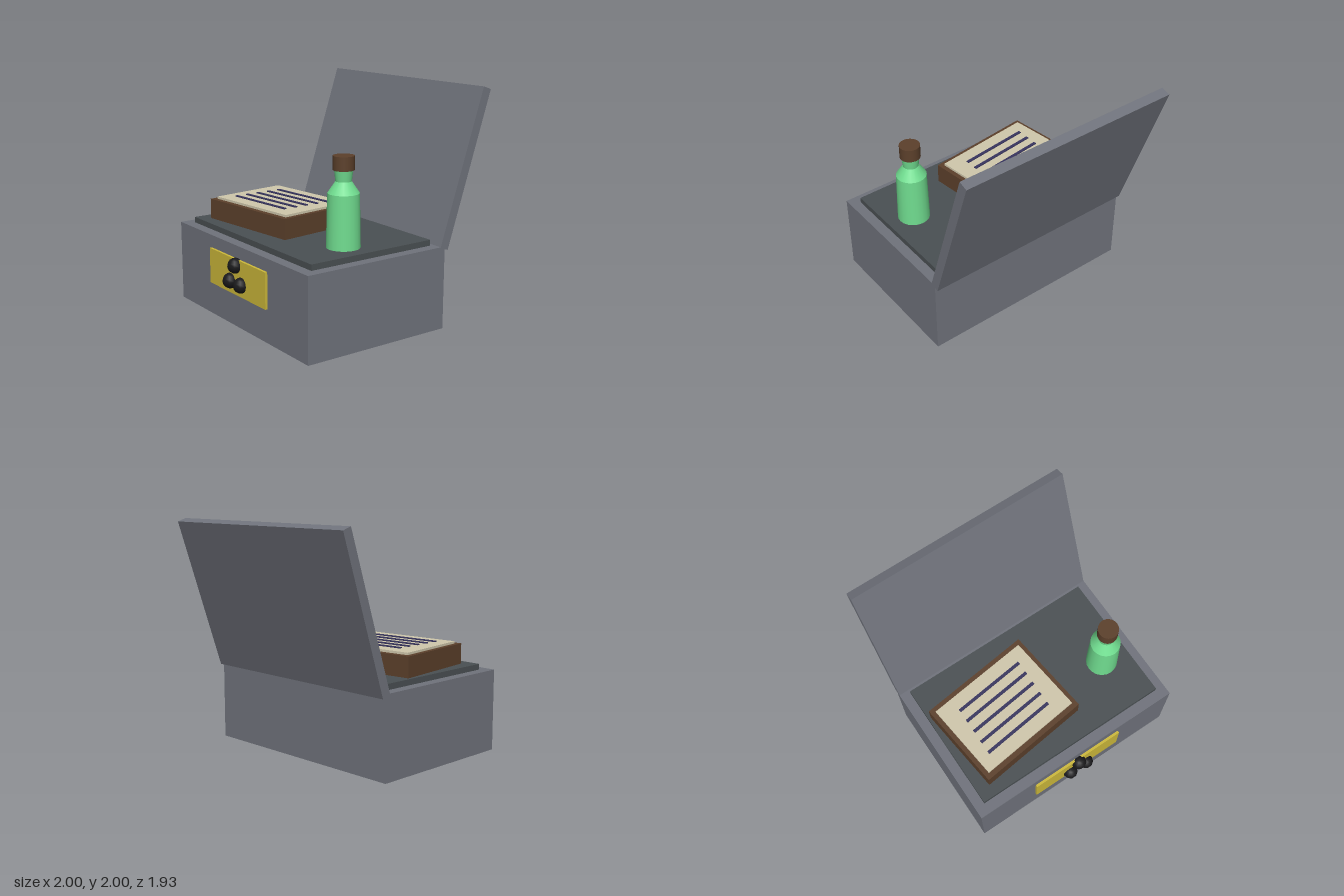
import * as THREE from 'three';

const mat = (name, color) => {
  const m = new THREE.MeshStandardMaterial({ color });
  m.name = name;
  return m;
};

export function createModel() {
  const model = new THREE.Group();
  model.name = 'openCase';

  const grey = mat('case grey', 0x70737c);
  const slate = mat('tray slate', 0x4a5053);
  const yellow = mat('plate yellow', 0xcdb93a);
  const black = mat('knob black', 0x1a1a1c);
  const brown = mat('wood brown', 0x5c402b);
  const paper = mat('paper cream', 0xd0c8ac);
  const ink = mat('ink blue', 0x38355f);
  const glass = mat('bottle green', 0x70dc8f);

  const add = (name, geometry, material, x, y, z, parent = model) => {
    const mesh = new THREE.Mesh(geometry, material);
    mesh.name = name;
    mesh.position.set(x, y, z);
    parent.add(mesh);
    return mesh;
  };
  const box = (w, h, d) => new THREE.BoxGeometry(w, h, d);

  // Case, leaning lid and raised tray
  add('caseBody', box(2, 0.71, 1.37), grey, 0, 0.355, 0.185);
  add('lid', box(2, 1.366, 0.084), grey, 0, 1.337, -0.709).rotation.x = -0.32;
  add('tray', box(1.82, 0.05, 1.195), slate, 0, 0.735, 0.178);

  // Front plate with three knobs
  add('frontPlate', box(0.88, 0.31, 0.023), yellow, 0, 0.445, 0.881);
  for (const [x, y] of [[0, 0.55], [-0.085, 0.4], [0.085, 0.4]])
    add('knob', new THREE.SphereGeometry(0.066, 10, 8), black, x, y, 0.903);

  // Book turned slightly on the tray
  const book = new THREE.Group();
  book.name = 'book';
  book.position.set(-0.333, 0.76, 0.22);
  book.rotation.y = 0.12;
  model.add(book);
  add('bookCover', box(1.017, 0.177, 0.796), brown, 0, 0.0885, 0, book);
  add('page', box(0.936, 0.02, 0.705), paper, 0, 0.187, 0, book);

  // Written lines, stacked straight down in z rather than along the page
  for (let i = -2; i <= 2; i++)
    add('writtenLine', box(0.67, 0.009, 0.027), ink, -0.333, 0.9615, 0.22 + i * 0.111).rotation.y = 0.12;

  // Bottle: separate bands keep the shoulder edges crisp
  const bottle = new THREE.Group();
  bottle.name = 'bottle';
  bottle.position.set(0.665, 0, 0.29);
  model.add(bottle);
  const band = (name, rTop, rBottom, y0, y1, material, open) =>
    add(name, new THREE.CylinderGeometry(rTop, rBottom, y1 - y0, 20, 1, open), material, 0, (y0 + y1) / 2, 0, bottle);
  band('bottleBody', 0.13, 0.14, 0.76, 1.205, glass, false);
  band('bottleShoulder', 0.066, 0.13, 1.205, 1.3, glass, true);
  band('bottleNeck', 0.076, 0.066, 1.3, 1.39, glass, true);
  band('cork', 0.088, 0.088, 1.39, 1.505, brown, false);

  return model;
}
